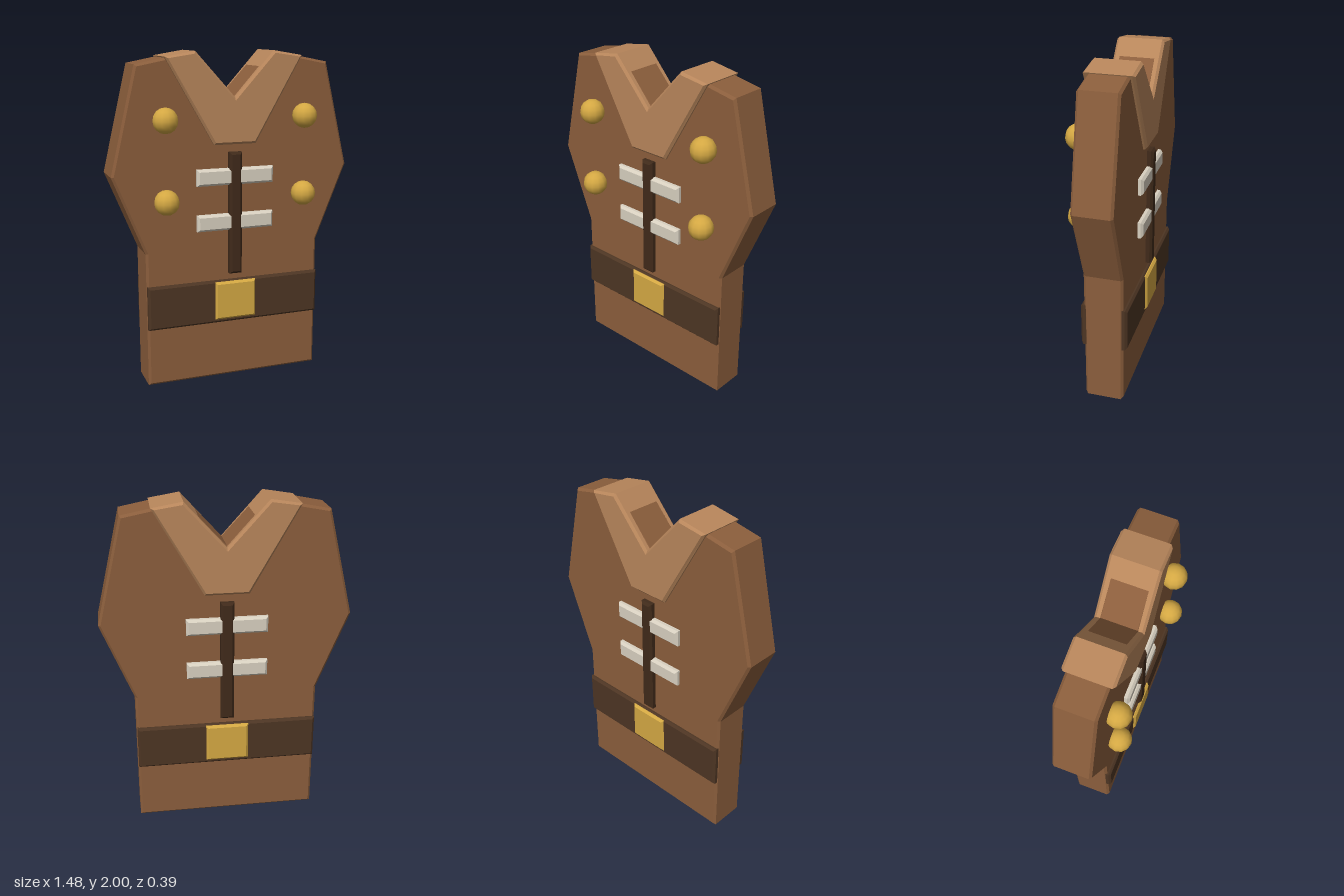
import * as THREE from 'three';

const mat = (name, color) => {
  const m = new THREE.MeshStandardMaterial({ color });
  m.name = name;
  return m;
};

const CENTER_Z = -0.042; // middle of the vest's thickness

// Bevelled slab with the given outer outline, centred on CENTER_Z
function slab(name, points, depth, bevel, material) {
  const shape = new THREE.Shape(points.map(([x, y]) => new THREE.Vector2(x, y)));
  const geo = new THREE.ExtrudeGeometry(shape, {
    depth: depth - 2 * bevel,
    bevelEnabled: true,
    bevelThickness: bevel,
    bevelSize: bevel,
    bevelOffset: -bevel,
    bevelSegments: 1,
  });
  geo.translate(0, 0, CENTER_Z - depth / 2 + bevel);
  const mesh = new THREE.Mesh(geo, material);
  mesh.name = name;
  return mesh;
}

// Outline from its right half, mirrored to the left (points on x = 0 stay single)
function mirrored(half) {
  const left = half.filter(([x]) => x > 0).map(([x, y]) => [-x, y]).reverse();
  return [...half, ...left];
}

// Bevelled bar centred on x = 0
const bar = (name, halfW, y0, y1, depth, bevel, material) =>
  slab(name, mirrored([[halfW, y0], [halfW, y1]]), depth, bevel, material);

export function createModel() {
  const leather = mat('brown leather', 0x8b5e3c);
  const trim = mat('tan collar leather', 0xb8865b);
  const beltLeather = mat('dark belt leather', 0x4d3523);
  const slitLeather = mat('deep brown', 0x402a1a);
  const gold = mat('gold', 0xd4a843);
  const cord = mat('pale cord', 0xd8d0c0);

  const vest = new THREE.Group();
  vest.name = 'vest';

  // Body, its V-neck lining slightly proud of the collar
  vest.add(slab('body', mirrored([
    [0.55, 0], [0.55, 0.83], [0.74, 1.3], [0.59, 1.93],
    [0.41, 1.965], [0.235, 1.992], [0, 1.734],
  ].map(([x, y]) => (x === 0 ? [0, y + 0.006] : [x, y]))), 0.235, 0.014, leather));

  // Collar around the V-neck, front and back
  vest.add(slab('collar', mirrored([
    [0.13, 1.46], [0.42, 1.97], [0.24, 2.0], [0, 1.735],
  ]), 0.285, 0.014, trim));

  // Belt and buckle, front and back
  vest.add(bar('belt', 0.547, 0.36, 0.63, 0.28, 0.013, beltLeather));
  vest.add(bar('buckle', 0.13, 0.383, 0.622, 0.306, 0.013, gold));

  // Centre slit and the laces crossing it
  vest.add(bar('centreSlit', 0.04, 0.67, 1.415, 0.31, 0.014, slitLeather));
  for (const y of [0.995, 1.27]) {
    vest.add(bar('lace', 0.24, y - 0.05, y + 0.05, 0.3, 0.014, cord));
  }

  // Studs on the chest
  const studGeo = new THREE.SphereGeometry(0.075, 12, 8);
  for (const x of [-0.43, 0.43]) {
    for (const y of [1.145, 1.617]) {
      const stud = new THREE.Mesh(studGeo, gold);
      stud.name = 'stud';
      stud.position.set(x, y, 0.12);
      vest.add(stud);
    }
  }
  return vest;
}
